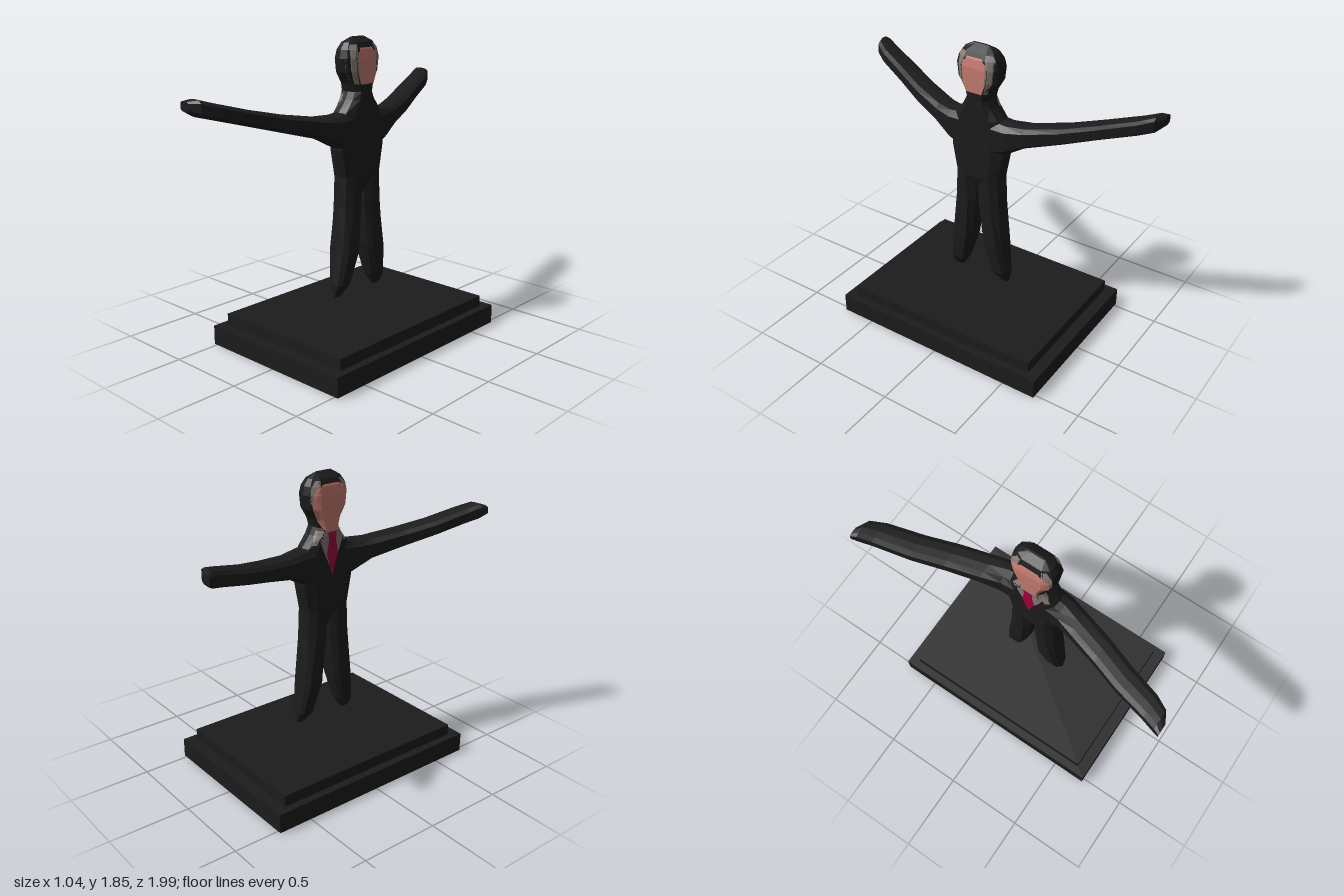
import * as THREE from 'three';

const mat = (name, color) => Object.assign(new THREE.MeshStandardMaterial({ color }), { name });

// Bevelled section as [depth, width] factors; f is the flat share of the width
const section = (f) => {
  const e = 0.8 + 0.2 * f;
  return [[1, -f], [1, 0], [1, f], [0.62, e], [0, 1], [-0.62, e],
    [-1, f], [-1, 0], [-1, -f], [-0.62, -e], [0, -1], [0.62, -e]];
};

// Head and torso rings: [y, half width, half depth]
const TRUNK = [[0.87, 0.04, 0.02], [1.03, 0.155, 0.08], [1.2, 0.19, 0.08], [1.32, 0.19, 0.08],
  [1.42, 0.155, 0.08], [1.49, 0.098, 0.08], [1.535, 0.076, 0.078], [1.58, 0.09, 0.078],
  [1.65, 0.135, 0.08], [1.73, 0.146, 0.08], [1.78, 0.135, 0.07], [1.82, 0.108, 0.05], [1.85, 0.055, 0.006]];

// Leg rings: [y, centre z, half width, half depth, flat share]
const LEG = [[1.04, 0.078, 0.078, 0.079, 0.2], [0.85, 0.081, 0.08, 0.08, 0.4], [0.57, 0.112, 0.073, 0.08, 0.6],
  [0.37, 0.152, 0.058, 0.052, 0.6], [0.305, 0.17, 0.037, 0.012, 0.6], [0.29, 0.17, 0.018, 0.003, 0.6]];

// Arm rings: [z, centre x, top y, bottom y, half depth]
const ARM = [[0.1, 0, 1.43, 1.18, 0.078], [0.19, -0.005, 1.415, 1.215, 0.078], [0.3, -0.04, 1.41, 1.28, 0.08],
  [0.5, -0.11, 1.44, 1.335, 0.08], [0.68, -0.185, 1.48, 1.385, 0.077], [0.88, -0.255, 1.535, 1.44, 0.07],
  [0.96, -0.295, 1.56, 1.462, 0.06], [0.995, -0.335, 1.548, 1.49, 0.035]];

function facetGeometry(positions, index) {
  const g = new THREE.BufferGeometry();
  g.setAttribute('position', new THREE.Float32BufferAttribute(positions, 3));
  g.setIndex(index);
  const flat = g.toNonIndexed();
  flat.computeVertexNormals();
  return flat;
}

// Closed skin over a list of rings; flip reverses the facing
function loft(rings, flip) {
  const n = rings[0].length, index = [], pos = rings.flat(2);
  const tri = (a, b, c) => (flip ? index.push(a, c, b) : index.push(a, b, c));
  for (let r = 0; r < rings.length - 1; r++) {
    for (let i = 0; i < n; i++) {
      const a = r * n + i, b = r * n + (i + 1) % n;
      tri(a, a + n, b);
      tri(b, a + n, b + n);
    }
  }
  const last = (rings.length - 1) * n;
  for (let i = 1; i < n - 1; i++) {
    tri(0, i, i + 1);
    tri(last, last + i + 1, last + i);
  }
  return facetGeometry(pos, index);
}

// Linear lookup in a table sorted by its first column
function lookup(table, t, col) {
  let i = 0;
  while (i < table.length - 2 && t > table[i + 1][0]) i++;
  const a = table[i], b = table[i + 1];
  const f = THREE.MathUtils.clamp((t - a[0]) / (b[0] - a[0]), 0, 1);
  return a[col] + (b[col] - a[col]) * f;
}

// Depth of the trunk surface at a height and sideways offset
const DEPTH = [[0, 1], [0.6, 1], [0.92, 0.62], [1, 0]];
const surface = (y, z) => lookup(TRUNK, y, 2) * lookup(DEPTH, Math.abs(z) / lookup(TRUNK, y, 1), 1);

// Painted patch hugging the trunk; rows are [y, z from, z to], lift sets the layer
function patch(side, rows, lift) {
  const pos = [], index = [], R = 24, C = 12;
  const y0 = rows[0][0], y1 = rows[rows.length - 1][0];
  for (let r = 0; r <= R; r++) {
    const y = y0 + (y1 - y0) * r / R;
    const limit = lookup(TRUNK, y, 1) * 0.95;
    for (let c = 0; c <= C; c++) {
      const a = lookup(rows, y, 1), b = lookup(rows, y, 2);
      const z = THREE.MathUtils.clamp(a + (b - a) * c / C, -limit, limit);
      pos.push(side * (surface(y, z) + lift), y, z);
      if (r < R && c < C) {
        const k = r * (C + 1) + c, up = k + C + 1;
        if (side > 0) index.push(k, up, k + 1, k + 1, up, up + 1);
        else index.push(k, k + 1, up, k + 1, up + 1, up);
      }
    }
  }
  return facetGeometry(pos, index);
}

// Rows symmetric about z = 0 from [y, half width]
const even = (rows) => rows.map(([y, w]) => [y, -w, w]);

export function createModel() {
  const model = new THREE.Group();
  const suit = mat('charcoal', 0x1c1c1c);
  const skin = mat('skin', 0xc67c70);
  const grey = mat('warm grey', 0x857a73);
  const red = mat('crimson', 0xa2003c);
  const add = (name, geometry, material) => {
    const mesh = new THREE.Mesh(geometry, material);
    mesh.name = name;
    model.add(mesh);
    return mesh;
  };

  // Stepped plinth
  add('plinthBase', new THREE.BoxGeometry(1.045, 0.12, 1.43), suit).position.y = 0.06;
  add('plinthTop', new THREE.BoxGeometry(0.95, 0.07, 1.29), suit).position.y = 0.155;

  // Torso, neck and head in one skin
  add('headAndTorso', loft(TRUNK.map(([y, w, d]) =>
    section(0.6).map(([u, v]) => [u * d, y, v * w])), false), suit);

  // Legs and arms, mirrored across z
  for (const s of [1, -1]) {
    const side = s > 0 ? 'Left' : 'Right';
    add('leg' + side, loft(LEG.map(([y, cz, w, d, f]) =>
      section(f).map(([u, v]) => [u * d, y, s * cz + v * w])), true), suit);
    add('arm' + side, loft(ARM.map(([z, cx, top, bottom, d]) =>
      section(0.6).map(([u, v]) => [cx + u * d, (top + bottom) / 2 + v * (top - bottom) / 2, s * z])), s > 0), suit);
  }

  // Head patches on the two broad sides, layered outwards
  add('rearGreyHair', patch(1, even([[1.58, 0.09], [1.65, 0.128], [1.73, 0.138], [1.78, 0.125], [1.81, 0.1]]), 0.002), grey);
  add('rearFringe', patch(1, even([[1.765, 0.072], [1.8, 0.068], [1.822, 0.06]]), 0.004), suit);
  add('rearSkin', patch(1, even([[1.58, 0.052], [1.63, 0.07], [1.72, 0.077], [1.765, 0.07], [1.775, 0.056], [1.79, 0.05]]), 0.006), skin);
  add('greyTemples', patch(-1, even([[1.62, 0.1], [1.7, 0.132], [1.77, 0.126], [1.81, 0.09]]), 0.002), grey);
  add('fringe', patch(-1, even([[1.765, 0.075], [1.8, 0.068], [1.822, 0.06]]), 0.004), suit);
  add('face', patch(-1, even([[1.515, 0.045], [1.57, 0.078], [1.65, 0.118], [1.73, 0.12], [1.765, 0.1], [1.79, 0.05]]), 0.006), skin);

  // Shirt front, collar tabs and tie
  add('shirt', patch(-1, even([[1.28, 0.004], [1.4, 0.058], [1.48, 0.088], [1.515, 0.07]]), 0.002), grey);
  for (const s of [1, -1]) {
    const rows = [[1.44, 0.1, 0.125], [1.48, 0.075, 0.1], [1.52, 0.05, 0.08]]
      .map(([y, a, b]) => (s > 0 ? [y, a, b] : [y, -b, -a]));
    add('collarTab', patch(-1, rows, 0.003), grey);
  }
  add('tie', patch(-1, even([[1.25, 0.003], [1.38, 0.04], [1.46, 0.026], [1.51, 0.03]]), 0.009), red);

  return model;
}
